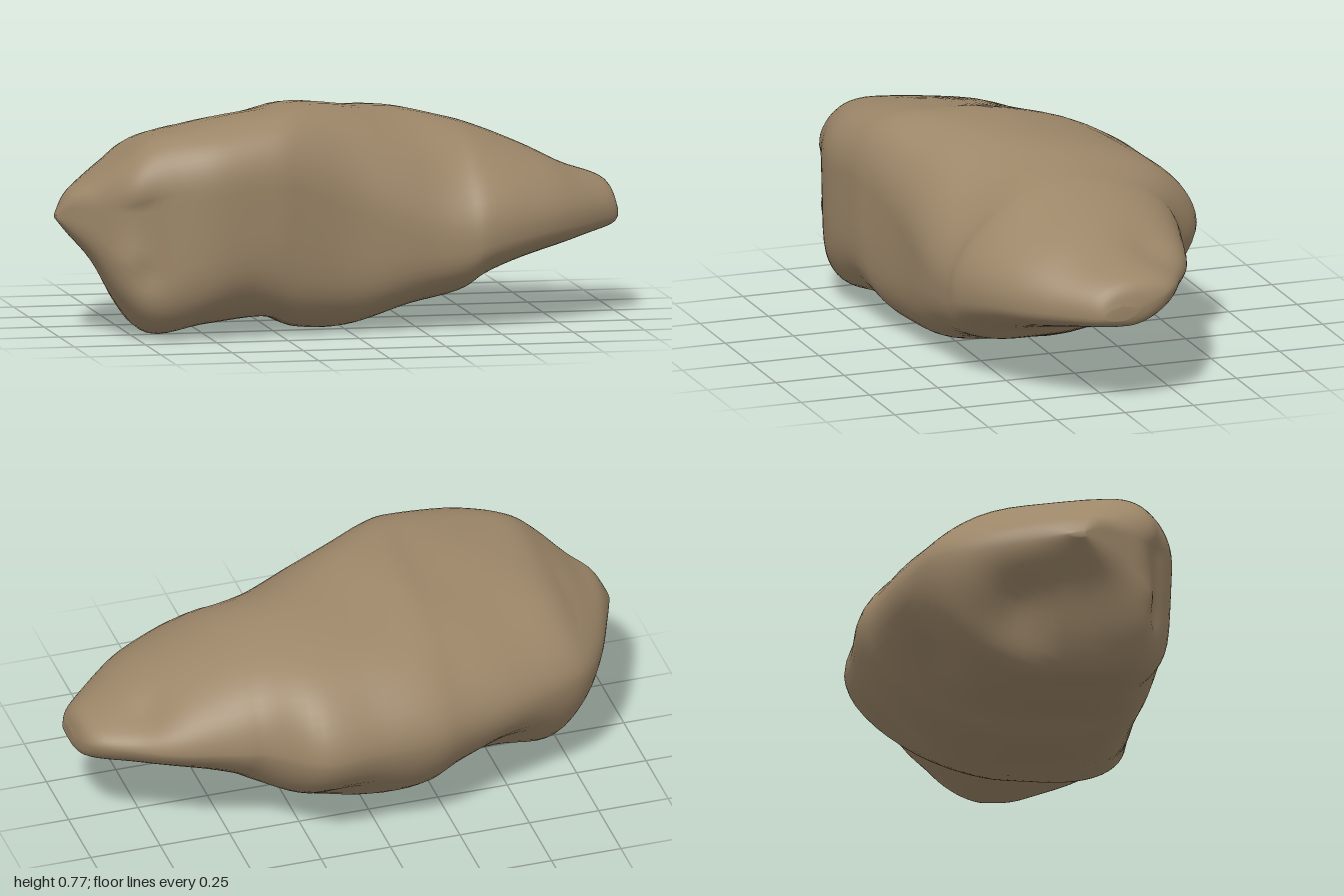
import * as THREE from 'three';

// Outline along the rock: x, top, bottom, back, front
const sections = [
  [-1.0, 0.42, 0.40, 0.16, 0.21],
  [-0.96, 0.49, 0.35, 0.05, 0.27],
  [-0.89, 0.54, 0.26, -0.13, 0.36],
  [-0.80, 0.615, 0.10, -0.26, 0.465],
  [-0.69, 0.69, 0.0, -0.34, 0.495],
  [-0.50, 0.735, 0.03, -0.415, 0.54],
  [-0.30, 0.765, 0.045, -0.485, 0.52],
  [-0.17, 0.78, 0.0, -0.525, 0.49],
  [0.03, 0.757, 0.0, -0.54, 0.455],
  [0.24, 0.727, 0.06, -0.545, 0.445],
  [0.40, 0.695, 0.11, -0.43, 0.44],
  [0.50, 0.665, 0.17, -0.405, 0.43],
  [0.70, 0.58, 0.235, -0.345, 0.355],
  [0.84, 0.515, 0.27, -0.27, 0.25],
  [0.97, 0.455, 0.30, -0.18, 0.12],
  [1.0, 0.38, 0.33, -0.05, 0.07],
];

// Hollows worn into the surface: x, y, z, radius, depth
const hollows = [
  [-0.75, 0.40, 0.46, 0.11, 0.05],
  [-0.73, 0.24, 0.46, 0.10, 0.03],
  [-0.83, 0.18, 0.0, 0.20, 0.05],
  [0.80, 0.50, -0.20, 0.14, 0.03],
  [0.40, 0.50, 0.30, 0.20, 0.025],
  [-0.40, 0.12, 0.46, 0.14, 0.02],
  [0.10, 0.20, -0.38, 0.18, 0.03],
  [-0.45, 0.20, -0.30, 0.18, 0.045],
];

// Smooth interpolation between neighbouring sections
function sectionAt(s) {
  const last = sections.length - 1;
  const i = Math.min(Math.floor(s), last - 1);
  const t = s - i;
  const p = [i - 1, i, i + 1, i + 2].map((k) => sections[Math.max(0, Math.min(last, k))]);
  return p[1].map((b, k) => {
    const a = p[0][k], c = p[2][k], d = p[3][k];
    return b + 0.5 * t * (c - a + t * (2 * a - 5 * b + 4 * c - d + t * (3 * (b - c) + d - a)));
  });
}

// One point of a section: four rounded quarters joining ridge, front, keel and back.
// Towards the thick end the ridge leans forward and the front overhangs;
// towards the thin end the front slopes outward.
function sectionPoint([x, top, bottom, back, front], angle) {
  const s = Math.sin(angle), c = Math.cos(angle);
  const isFront = s >= 0, isTop = c >= 0;
  const thick = 1 - THREE.MathUtils.smoothstep(x, -0.3, 0.45);
  const frontPower = isTop ? 2 + 0.5 * thick : 3 + thick;
  const backPower = isTop ? 2 : 1.65 + 0.25 * thick;
  const power = isFront ? frontPower : backPower;
  const u = Math.abs(s) ** (2 / power), v = Math.abs(c) ** (2 / power);
  const height = top - bottom;
  const yMid = isFront
    ? bottom + height * (0.34 + 0.34 * thick)
    : THREE.MathUtils.clamp(0.41, bottom + 0.3 * height, top - 0.3 * height);
  const lean = isTop ? 0.62 * thick - 0.08 : 0.15 * thick;
  const zMid = (front + back) / 2 + lean * (front - back) / 2;
  return new THREE.Vector3(
    x,
    yMid + v * ((isTop ? top : bottom) - yMid),
    zMid + u * ((isFront ? front : back) - zMid),
  );
}

function rockGeometry(rings = 80, sides = 56) {
  const positions = [], indices = [];
  const core = new THREE.Vector3(), centre = new THREE.Vector3();
  for (let i = 0; i <= rings; i++) {
    const section = sectionAt((i / rings) * (sections.length - 1));
    for (let j = 0; j < sides; j++) {
      const p = sectionPoint(section, (j / sides) * Math.PI * 2);
      core.set(p.x * 0.75, 0.38, 0.02);
      const inward = core.clone().sub(p).normalize();
      let push = 0;
      for (const [x, y, z, radius, depth] of hollows) {
        push += depth * Math.exp(-((p.distanceTo(centre.set(x, y, z)) / radius) ** 2) * 2);
      }
      // gentle weathering, fading out at the tips
      push += 0.005 * (1 + Math.sin(9 * p.x + 7 * p.y) * Math.sin(11 * p.z - 6 * p.x + 8 * p.y))
        * Math.min(1, (1 - Math.abs(p.x)) * 5);
      p.addScaledVector(inward, push);
      positions.push(p.x, Math.max(0, p.y), p.z);
      if (i < rings) {
        const a = i * sides + j, b = i * sides + ((j + 1) % sides);
        indices.push(a, b, a + sides, b, b + sides, a + sides);
      }
    }
  }
  // close both ends
  const end = rings * sides;
  for (let j = 1; j < sides - 1; j++) {
    indices.push(0, j + 1, j, end, end + j, end + j + 1);
  }
  const geometry = new THREE.BufferGeometry();
  geometry.setAttribute('position', new THREE.Float32BufferAttribute(positions, 3));
  geometry.setIndex(indices);
  geometry.computeVertexNormals();
  return geometry;
}

export function createModel() {
  const group = new THREE.Group();
  group.name = 'rock';
  const stone = new THREE.MeshStandardMaterial({ color: 0x9c8668 });
  stone.name = 'brown stone';
  const boulder = new THREE.Mesh(rockGeometry(), stone);
  boulder.name = 'boulder';
  group.add(boulder);
  return group;
}
